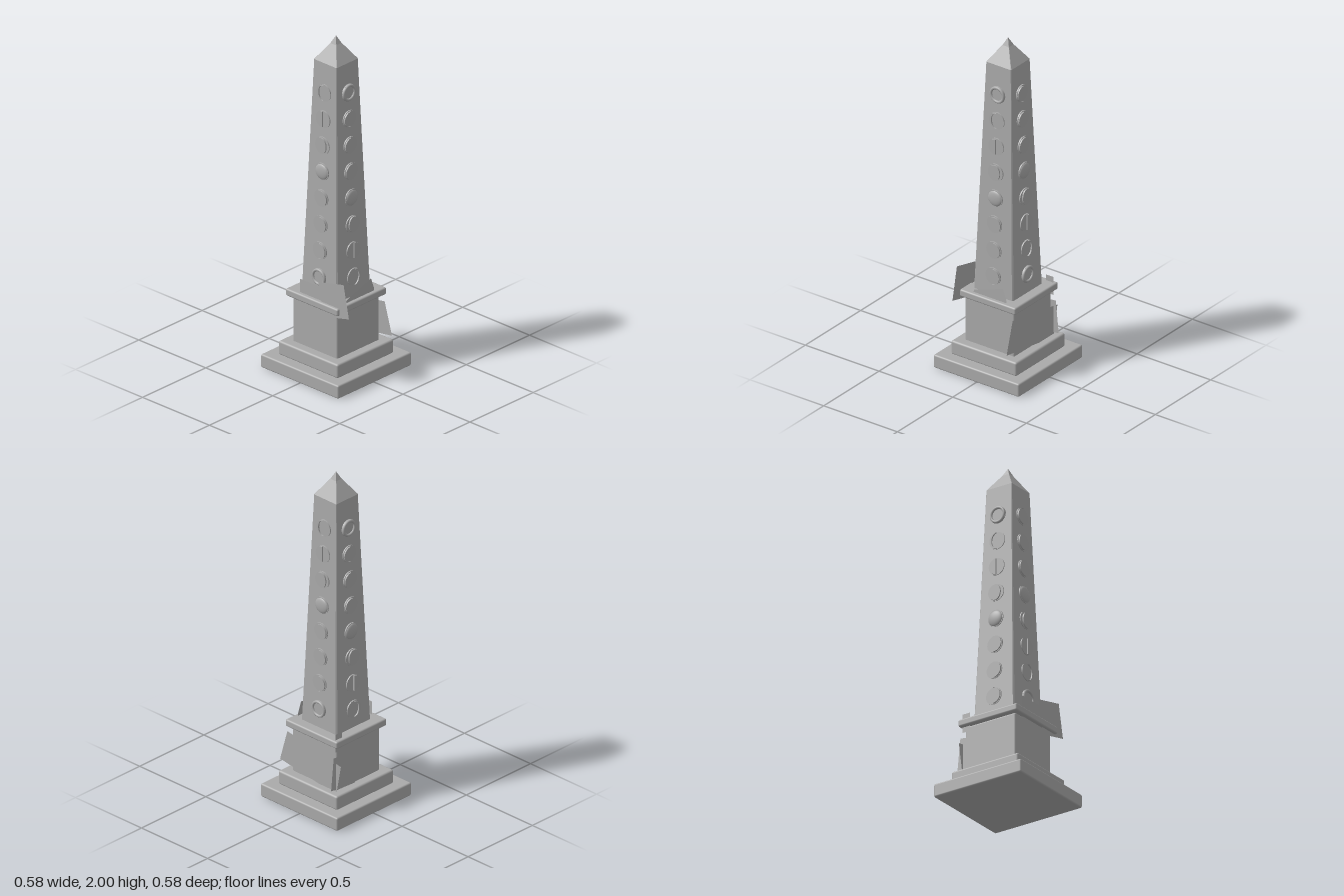
import * as THREE from 'three';
import { RoundedBoxGeometry } from 'three/addons/geometries/RoundedBoxGeometry.js';

const stone = new THREE.MeshStandardMaterial({ color: 0xaaaaaa, side: THREE.DoubleSide });
stone.name = 'grey stone';

function add(parent, name, geometry, x = 0, y = 0, z = 0) {
  const mesh = new THREE.Mesh(geometry, stone);
  mesh.name = name;
  mesh.position.set(x, y, z);
  parent.add(mesh);
  return mesh;
}

// square slab with softened edges
function slab(parent, name, half, y0, y1, radius) {
  add(parent, name, new RoundedBoxGeometry(half * 2, y1 - y0, half * 2, 3, radius), 0, (y0 + y1) / 2, 0);
}

// square cross-section with narrow chamfered corners
function ring(half, chamfer, y) {
  const a = half, b = half - chamfer;
  return [[a, b], [b, a], [-b, a], [-a, b], [-a, -b], [-b, -a], [b, -a], [a, -b]].map(([x, z]) => [x, y, z]);
}

function shaftGeometry() {
  const rings = [[0.134, 0.007, 0.47], [0.085, 0.003, 1.86], [0.022, 0.001, 1.955], [0, 0, 2]].map((r) => ring(...r));
  const pos = [];
  for (let k = 0; k < rings.length - 1; k++) {
    for (let i = 0; i < 8; i++) {
      const j = (i + 1) % 8;
      const [a, b, c, d] = [rings[k][i], rings[k][j], rings[k + 1][j], rings[k + 1][i]];
      pos.push(...a, ...c, ...b);
      if (k < 2) pos.push(...a, ...d, ...c);
    }
  }
  const geometry = new THREE.BufferGeometry();
  geometry.setAttribute('position', new THREE.Float32BufferAttribute(pos, 3));
  geometry.computeVertexNormals();
  return geometry;
}

// lit part of a moon disc, phase 1 to 7
function moonShape(phase, r) {
  const side = phase > 4 ? -1 : 1;
  const terminator = Math.cos((phase / 8) * Math.PI * 2);
  const points = [];
  for (let i = 0; i <= 20; i++) {
    const t = -Math.PI / 2 + (i / 20) * Math.PI;
    points.push(new THREE.Vector2(side * r * Math.cos(t), r * Math.sin(t)));
  }
  for (let i = 19; i > 0; i--) {
    const t = -Math.PI / 2 + (i / 20) * Math.PI;
    points.push(new THREE.Vector2(side * terminator * r * Math.cos(t), r * Math.sin(t)));
  }
  return new THREE.Shape(points);
}

function moon(phase) {
  const group = new THREE.Group();
  group.name = 'moonDisc';
  add(group, 'moonBacking', new THREE.CylinderGeometry(0.05, 0.05, 0.016, 32), 0, 0, -0.004).rotation.x = Math.PI / 2;
  if (phase === 0) {
    add(group, 'newMoonRing', new THREE.TorusGeometry(0.042, 0.008, 10, 32), 0, 0, 0.005);
  } else if (phase === 4) {
    const dome = add(group, 'fullMoonDome', new THREE.SphereGeometry(0.046, 28, 10, 0, Math.PI * 2, 0, Math.PI / 2), 0, 0, 0.002);
    dome.rotation.x = Math.PI / 2;
    dome.scale.y = 0.3;
  } else {
    add(group, 'moonPhase', new THREE.ExtrudeGeometry(moonShape(phase, 0.046), { depth: 0.012, bevelEnabled: false }));
  }
  return group;
}

// thin upright sheet through four corners, in the face's own plane
function sheet(parent, name, corners) {
  const shape = new THREE.Shape(corners.map(([x, y]) => new THREE.Vector2(x, y)));
  return add(parent, name, new THREE.ShapeGeometry(shape));
}

export function createModel() {
  const model = new THREE.Group();
  model.name = 'obelisk';

  // stepped pedestal
  slab(model, 'baseStep', 0.29, 0, 0.08, 0.01);
  slab(model, 'upperStep', 0.222, 0.075, 0.16, 0.012);
  slab(model, 'pedestalBlock', 0.167, 0.15, 0.435, 0.01);
  slab(model, 'pedestalCap', 0.195, 0.432, 0.475, 0.01);

  // tapering shaft with pointed top
  add(model, 'shaft', shaftGeometry());

  // eight moon phases up each face, shifted by one on the sides
  for (let face = 0; face < 4; face++) {
    const column = new THREE.Group();
    column.name = 'moonColumn';
    column.rotation.y = (face * Math.PI) / 2;
    for (let i = 0; i < 8; i++) {
      const y = 0.588 + i * 0.157;
      const disc = moon((i + (face % 2)) % 8);
      disc.position.set(0, y, 0.134 - ((y - 0.47) / 1.39) * 0.049 + 0.002);
      column.add(disc);
    }
    model.add(column);
  }

  // loose flat sheets around the pedestal
  sheet(model, 'frontTiltedSheet', [[0.035, 0.585], [0.225, 0.63], [0.265, 0.435], [0.075, 0.39]]).position.z = 0.178;
  sheet(model, 'frontUprightSheet', [[-0.105, 0.555], [0.1, 0.555], [0.1, 0.35], [-0.105, 0.35]]).position.z = 0.172;
  sheet(model, 'backSheet', [[-0.21, 0.325], [0.195, 0.395], [0.25, 0.205], [-0.175, 0.14]]).position.z = -0.178;

  // side sheets: first coordinate is -z on the left, +z on the right
  const left = sheet(model, 'leftSheet', [[0.095, 0.555], [0.12, 0.485], [0.05, 0.3], [-0.14, 0.36], [-0.1, 0.49]]);
  left.position.x = 0.172;
  left.rotation.y = Math.PI / 2;
  const right = [
    sheet(model, 'rightUpperSheet', [[-0.18, 0.51], [-0.13, 0.51], [-0.13, 0.4], [-0.18, 0.4]]),
    sheet(model, 'rightLowerSheet', [[-0.195, 0.37], [-0.01, 0.35], [-0.03, 0.155], [-0.215, 0.175]]),
  ];
  for (const mesh of right) {
    mesh.position.x = -0.172;
    mesh.rotation.y = -Math.PI / 2;
  }
  return model;
}
